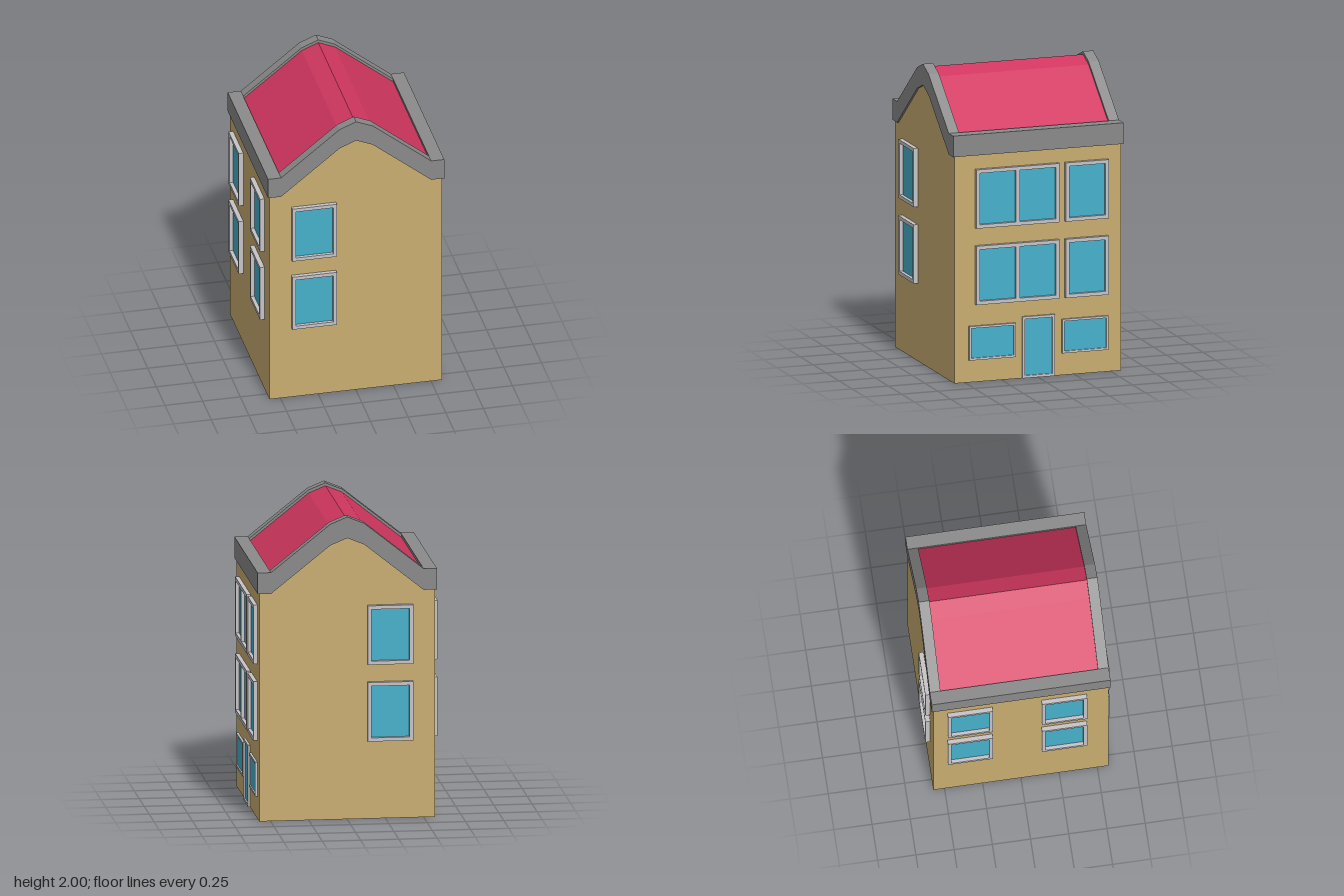
import * as THREE from 'three';

const mat = (name, color) => {
  const m = new THREE.MeshStandardMaterial({ color });
  m.name = name;
  return m;
};

const WALL = 0.573; // half width of the walls
const EDGE = 0.585; // half width of the roof trim
const INNER = 0.498; // inner edge of the gutters
const TRIM_Z = 0.515; // inner face of the gable trims

export function createModel() {
  const house = new THREE.Group();
  house.name = 'house';
  const wallMat = mat('sandWall', 0xc9ad70);
  const roofMat = mat('redRoof', 0xd0365f);
  const trimMat = mat('greyTrim', 0x8a8a8a);
  const frameMat = mat('paleFrame', 0xc6c4c7);
  const glassMat = mat('blueGlass', 0x46b1cb);

  const add = (parent, name, geometry, material) => {
    const mesh = new THREE.Mesh(geometry, material);
    mesh.name = name;
    parent.add(mesh);
    return mesh;
  };

  // Extrudes a profile along z, from z0 to z1
  const prism = (points, z0, z1) => {
    const shape = new THREE.Shape(points.map(([x, y]) => new THREE.Vector2(x, y)));
    return new THREE.ExtrudeGeometry(shape, { depth: z1 - z0, bevelEnabled: false }).translate(0, 0, z0);
  };

  // Roof line from right to left, shifted by dy
  const roofLine = (dy) =>
    [[INNER, 1.645], [0.11, 1.955], [0, 2], [-0.11, 1.955], [-INNER, 1.645]].map(([x, y]) => [x, y + dy]);

  // Walls with gables
  const wallTop = 1.508;
  add(house, 'walls', prism(
    [[-WALL, 0], [WALL, 0], [WALL, wallTop], ...roofLine(-0.138), [-WALL, wallTop]], -WALL, WALL), wallMat);

  // Roof covering, slightly below the gable trims
  add(house, 'roof', prism(
    [...roofLine(-0.02), ...roofLine(-0.13).reverse()], -TRIM_Z, TRIM_Z), roofMat);

  // Gable trims and side gutters
  const trimProfile = [
    [EDGE, 1.505], [EDGE, 1.645], ...roofLine(0), [-EDGE, 1.645], [-EDGE, 1.505], ...roofLine(-0.14).reverse(),
  ];
  add(house, 'frontGableTrim', prism(trimProfile, TRIM_Z, EDGE), trimMat);
  add(house, 'backGableTrim', prism(trimProfile, -EDGE, -TRIM_Z), trimMat);
  for (const [side, name] of [[1, 'leftGutter'], [-1, 'rightGutter']]) {
    add(house, name, new THREE.BoxGeometry(EDGE - INNER, 0.14, 2 * TRIM_Z), trimMat)
      .position.set(side * (EDGE + INNER) / 2, 1.575, 0);
  }

  const rect = (Type, x0, y0, x1, y1) => new Type([
    new THREE.Vector2(x0, y0), new THREE.Vector2(x1, y0), new THREE.Vector2(x1, y1), new THREE.Vector2(x0, y1),
  ]);

  // A frame with one opening per pane, on a wall that faces +z before it is turned
  const opening = (name, wall, [x0, x1], [y0, y1], border, front, panes) => {
    const group = new THREE.Group();
    group.name = name;
    const shape = rect(THREE.Shape, x0, y0, x1, y1);
    for (const [a, b] of panes ?? [[x0 + border, x1 - border]]) {
      shape.holes.push(rect(THREE.Path, a, y0 + border, b, y1 - border));
      add(group, 'pane', new THREE.BoxGeometry(b - a, y1 - y0 - 2 * border, 0.008), glassMat)
        .position.set((a + b) / 2, (y0 + y1) / 2, WALL + 0.002);
    }
    const geometry = new THREE.ExtrudeGeometry(shape, { depth: front - WALL, bevelEnabled: false });
    add(group, 'frame', geometry.translate(0, 0, WALL), frameMat);
    wall.add(group);
  };

  const makeWall = (name, turn) => {
    const wall = new THREE.Group();
    wall.name = name;
    wall.rotation.y = turn;
    house.add(wall);
    return wall;
  };
  const front = makeWall('frontOpenings', 0);
  const back = makeWall('backOpenings', Math.PI);
  const left = makeWall('leftOpenings', Math.PI / 2);
  const right = makeWall('rightOpenings', -Math.PI / 2);

  // Windows of the two upper floors
  for (const floor of [[0.515, 0.905], [1.022, 1.412]]) {
    opening('window', front, [-0.428, -0.132], floor, 0.024, 0.602);
    opening('window', back, [0.132, 0.428], floor, 0.024, 0.604);
    opening('window', right, [-0.481, -0.187], floor, 0.024, 0.603);
    opening('window', right, [0.134, 0.43], floor, 0.024, 0.603);
    opening('doubleWindow', left, [-0.432, 0.141], floor, 0.024, 0.6, [[-0.408, -0.16], [-0.131, 0.117]]);
    opening('window', left, [0.184, 0.479], floor, 0.024, 0.6);
  }

  // Ground floor: door between two low windows
  opening('lowWindow', left, [-0.476, -0.156], [0.147, 0.373], 0.014, 0.588);
  opening('lowWindow', left, [0.164, 0.482], [0.147, 0.373], 0.014, 0.588);
  opening('door', left, [-0.109, 0.113], [0.002, 0.41], 0.017, 0.588);

  return house;
}
